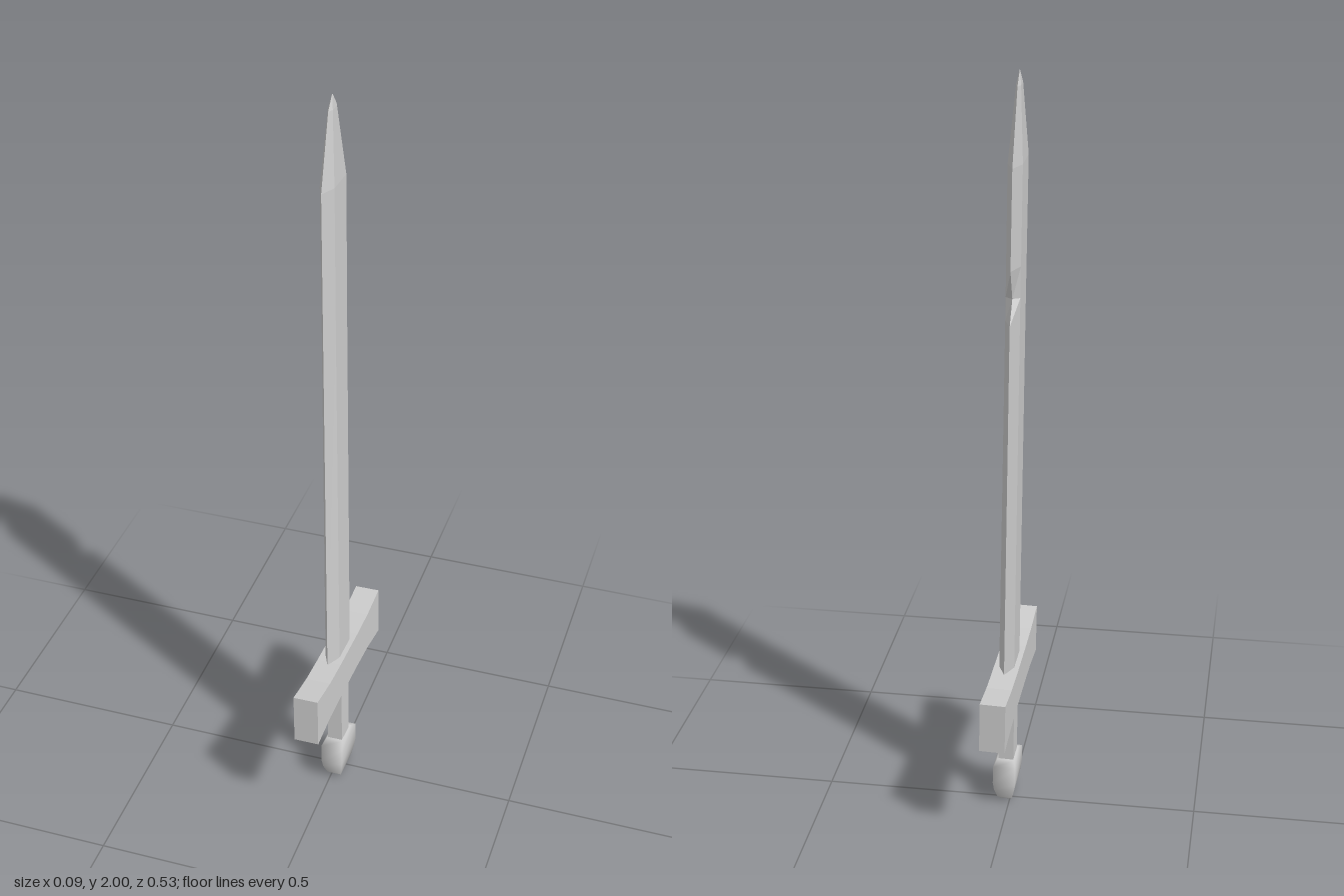
import * as THREE from 'three';

// Skins consecutive rings of [x, y, z] points and caps both ends.
// Rings run counter-clockwise when seen from the last ring's end.
function loft(rings, smooth = false) {
  const n = rings[0].length;
  const pos = rings.flat(2);
  const index = [];
  for (let r = 0; r < rings.length - 1; r++) {
    for (let i = 0; i < n; i++) {
      const a = r * n + i, b = r * n + (i + 1) % n;
      index.push(a, b, b + n, a, b + n, a + n);
    }
  }
  const last = (rings.length - 1) * n;
  for (let i = 1; i < n - 1; i++) {
    index.push(0, i + 1, i, last, last + i, last + i + 1);
  }
  let geo = new THREE.BufferGeometry();
  geo.setAttribute('position', new THREE.Float32BufferAttribute(pos, 3));
  geo.setIndex(index);
  if (!smooth) geo = geo.toNonIndexed();
  geo.computeVertexNormals();
  return geo;
}

function part(name, geometry, flatShading = true) {
  const mesh = new THREE.Mesh(geometry,
    new THREE.MeshStandardMaterial({ color: 0xcccccc, flatShading }));
  mesh.name = name;
  return mesh;
}

// Horizontal rectangle with half sizes hx, hz
const rect = ([y, hx, hz]) => [[hx, y, hz], [hx, y, -hz], [-hx, y, -hz], [-hx, y, hz]];

// Flattened hexagon: cutting edges at front and back, flat faces on the sides
const hexagon = ([y, hx, flat, front, back]) => [
  [0, y, front], [hx, y, flat], [hx, y, -flat],
  [0, y, -back], [-hx, y, -flat], [-hx, y, flat],
];

export function createModel() {
  const sword = new THREE.Group();
  sword.name = 'sword';

  // Blade with a nick in its back edge
  const blade = [
    [0.39, 0.02, 0.043, 0.085, 0.085],
    [1.40, 0.018, 0.043, 0.085, 0.086],
    [1.46, 0.018, 0.043, 0.085, 0.053],
    [1.54, 0.018, 0.043, 0.085, 0.087],
    [1.79, 0.018, 0.043, 0.085, 0.085],
    [1.968, 0.006, 0.015, 0.03, 0.03],
    [2.0, 0.0005, 0.001, 0.002, 0.002],
  ].map(hexagon);
  sword.add(part('blade', loft(blade)));

  // Crossguard, flaring towards both ends
  const guard = [[-0.26, 0.07], [-0.16, 0.057], [-0.07, 0.054],
    [0.07, 0.054], [0.16, 0.057], [0.26, 0.07]].map(([z, h]) => {
    const y = 0.375, w = 0.033;
    return [[w, y - h, z], [w, y + h, z], [-w, y + h, z], [-w, y - h, z]];
  });
  sword.add(part('crossguard', loft(guard)));

  // Grip, widening just below the guard
  const grip = [[0.11, 0.02, 0.03], [0.29, 0.02, 0.03], [0.33, 0.024, 0.042]].map(rect);
  sword.add(part('grip', loft(grip)));

  // Rounded pommel
  const pommel = [
    [0.003, 0.012, 0.03], [0.015, 0.02, 0.042], [0.045, 0.027, 0.056],
    [0.07, 0.03, 0.061], [0.12, 0.03, 0.06], [0.131, 0.023, 0.036],
  ].map(rect);
  sword.add(part('pommel', loft(pommel, true), false));

  // The whole sword leans slightly
  sword.rotation.set(-0.041, -0.016, 0.022);
  sword.position.set(0.012, 0, 0.018);

  const model = new THREE.Group();
  model.add(sword);
  return model;
}
